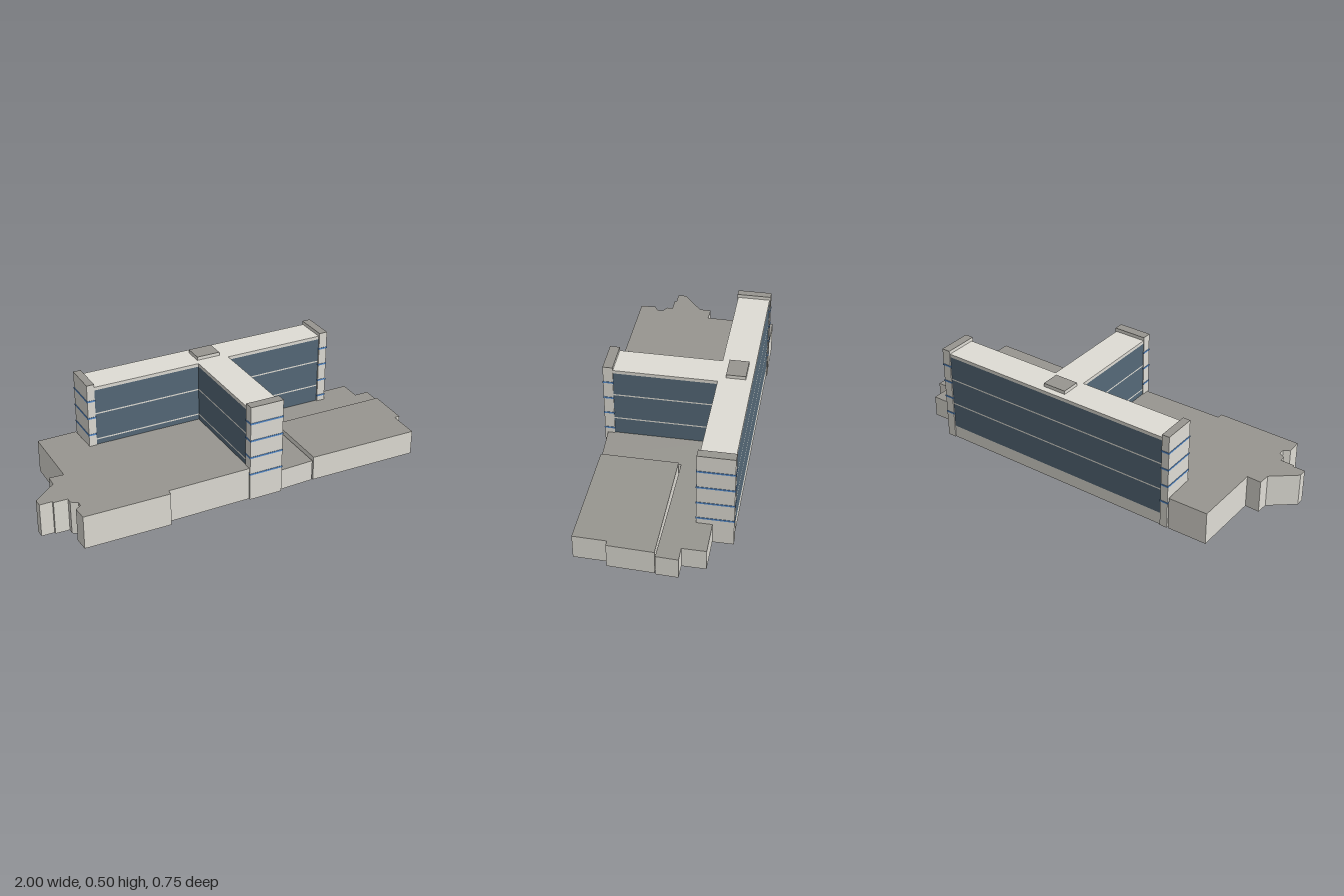
import * as THREE from 'three';

const mat = (name, color) => {
  const m = new THREE.MeshStandardMaterial({ color });
  m.name = name;
  return m;
};

export function createModel() {
  const wall = mat('wall concrete', 0xdfddd5);
  const roof = mat('grey roof', 0x989690);
  const glass = mat('window glass', 0x556978);
  const blue = mat('blue trim', 0x5a90d0);

  const model = new THREE.Group();
  model.name = 'officeComplex';

  // Box given by its limits on each axis
  function box(parent, name, material, [x0, x1], [y0, y1], [z0, z1]) {
    const mesh = new THREE.Mesh(new THREE.BoxGeometry(x1 - x0, y1 - y0, z1 - z0), material);
    mesh.position.set((x0 + x1) / 2, (y0 + y1) / 2, (z0 + z1) / 2);
    mesh.name = name;
    parent.add(mesh);
  }

  // Flat-roofed block raised from a plan outline of [x, z] points:
  // concrete underside and sides, grey top
  function podium(name, height, outline) {
    const shape = new THREE.Shape(outline.map(([x, z]) => new THREE.Vector2(x, -z)));
    const geo = new THREE.ExtrudeGeometry(shape, { depth: height, bevelEnabled: false });
    geo.rotateX(-Math.PI / 2);
    const [caps, sides] = geo.groups;
    const half = caps.count / 2;
    geo.clearGroups();
    geo.addGroup(0, half, 0);
    geo.addGroup(half, half, 1);
    geo.addGroup(sides.start, sides.count, 0);
    const mesh = new THREE.Mesh(geo, [wall, roof]);
    mesh.name = name;
    model.add(mesh);
  }

  podium('rightPodium', 0.17, [
    [-0.79, -0.374], [-0.8, -0.02], [-0.873, -0.025], [-0.877, 0.035], [-1, 0.13], [-1, 0.172],
    [-0.937, 0.174], [-0.936, 0.184], [-0.866, 0.187], [-0.868, 0.217], [-0.835, 0.237],
    [-0.837, 0.265], [-0.868, 0.283], [-0.866, 0.359], [-0.433, 0.374], [-0.43, 0.345],
    [0, 0.352], [0.012, -0.193], [-0.585, -0.207], [-0.588, -0.371],
  ]);
  podium('leftPodium', 0.109, [
    [0.172, -0.188], [0.752, -0.172], [0.755, -0.24], [0.93, -0.236], [0.926, -0.122],
    [1, -0.12], [0.993, -0.015], [0.365, -0.04], [0.355, 0.348], [0.163, 0.352],
  ]);
  podium('leftAnnex', 0.127, [
    [0.373, -0.029], [0.987, -0.011], [0.973, 0.21], [0.945, 0.209], [0.937, 0.371], [0.361, 0.35],
  ]);

  // T-shaped block, turned slightly against the podium
  const block = new THREE.Group();
  block.name = 'towerBlock';
  block.position.set(0.0825, 0, -0.271);
  block.rotation.y = -0.0255;
  model.add(block);

  // Storeys: concrete and glass layers stacked flush
  const levels = [0, 0.065, 0.196, 0.203, 0.337, 0.344, 0.468, 0.485];
  function storeys(name, xs, zs) {
    const wing = new THREE.Group();
    wing.name = name;
    block.add(wing);
    for (let i = 0; i < levels.length - 1; i++) {
      const glazed = i % 2 === 1;
      box(wing, glazed ? 'windowBand' : 'floorBand', glazed ? glass : wall, xs, [levels[i], levels[i + 1]], zs);
    }
  }
  storeys('backWing', [-0.628, 0.628], [-0.08, 0.082]);
  storeys('frontWing', [-0.068, 0.098], [0.082, 0.586]);

  // Concrete block with a thin grey cap
  function capped(parent, name, xs, [y0, y1], zs) {
    box(parent, name, wall, xs, [y0, y1 - 0.002], zs);
    box(parent, name + 'Cap', roof, xs, [y1 - 0.002, y1], zs);
  }

  // Stair towers with blue bands
  function tower(name, [x0, x1], [z0, z1]) {
    const group = new THREE.Group();
    group.name = name;
    block.add(group);
    capped(group, 'shaft', [x0, x1], [0, 0.503], [z0, z1]);
    const p = 0.002;
    for (const y of [0.14, 0.232, 0.323, 0.415]) {
      box(group, 'blueBand', blue, [x0 - p, x1 + p], [y - 0.0042, y + 0.0042], [z0 - p, z1 + p]);
    }
  }
  tower('rightTower', [-0.667, -0.628], [-0.085, 0.086]);
  tower('leftTower', [0.628, 0.672], [-0.085, 0.09]);
  tower('frontTower', [-0.071, 0.103], [0.586, 0.634]);

  // Plant room on the roof crossing
  capped(block, 'roofPlantRoom', [-0.057, 0.066], [0.485, 0.503], [-0.048, 0.047]);

  return model;
}
